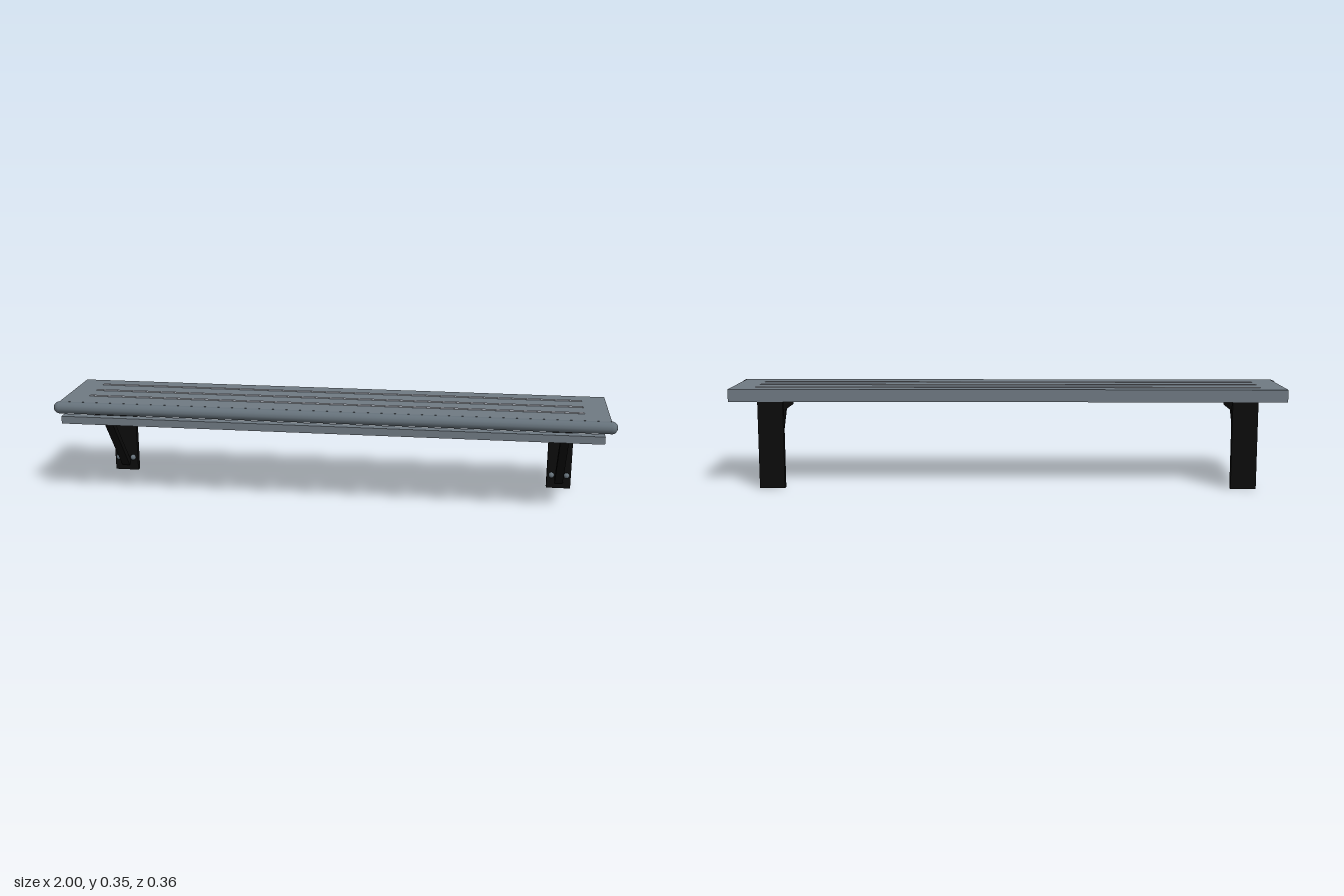
import * as THREE from 'three';

const material = (name, color) => {
  const m = new THREE.MeshStandardMaterial({ color });
  m.name = name;
  return m;
};

export function createModel() {
  const model = new THREE.Group();
  model.name = 'wallShelf';

  const slate = material('slateGrey', 0x707a83);
  const steel = material('steelGrey', 0x66727b);
  const pale = material('paleGrey', 0xb4b9c2);
  const black = material('black', 0x0c0c0c);

  const add = (parent, name, geometry, mat, x, y, z) => {
    const mesh = new THREE.Mesh(geometry, mat);
    mesh.name = name;
    mesh.position.set(x, y, z);
    parent.add(mesh);
    return mesh;
  };
  const box = (parent, name, mat, [w, h, d], [x, y, z]) =>
    add(parent, name, new THREE.BoxGeometry(w, h, d), mat, x, y, z);

  // Board with its rounded front edge and the loose rail below it
  box(model, 'board', slate, [1.956, 0.044, 0.31], [0, 0.33, -0.025]);
  const nose = add(model, 'frontEdge', new THREE.CylinderGeometry(0.022, 0.022, 1.956, 12), steel, 0, 0.33, 0.131);
  nose.rotation.z = Math.PI / 2;
  for (const side of [-1, 1]) {
    add(model, 'edgeCap', new THREE.SphereGeometry(0.022, 12, 8), steel, side * 0.978, 0.33, 0.131);
  }
  box(model, 'frontRail', slate, [1.91, 0.027, 0.033], [0, 0.299, 0.1665]);

  // Thin grip strips along the top
  for (const z of [-0.116, -0.037, 0.041]) {
    box(model, 'gripStrip', pale, [1.785, 0.004, 0.014], [0, 0.352, z]);
  }

  // Wall brackets with diagonal braces and bolts
  for (const side of [-1, 1]) {
    const bracket = new THREE.Group();
    bracket.name = 'bracket';
    bracket.position.x = side * 0.831;
    model.add(bracket);

    box(bracket, 'wallPlate', black, [0.089, 0.308, 0.022], [0, 0.154, -0.168]);
    box(bracket, 'arm', black, [0.06, 0.045, 0.256], [0, 0.2855, -0.031]);

    const low = new THREE.Vector2(-0.152, 0.03);
    const high = new THREE.Vector2(0.034, 0.257);
    const run = high.clone().sub(low);
    const brace = box(bracket, 'brace', black, [0.03, 0.022, run.length()],
      [0, (low.y + high.y) / 2, (low.x + high.x) / 2]);
    brace.rotation.x = -Math.atan2(run.y, run.x);

    for (const x of [-0.028, 0.028]) {
      for (const y of [0.053, 0.253]) {
        add(bracket, 'bolt', new THREE.SphereGeometry(0.011, 10, 8), steel, x, y, -0.149);
      }
    }
  }
  return model;
}
